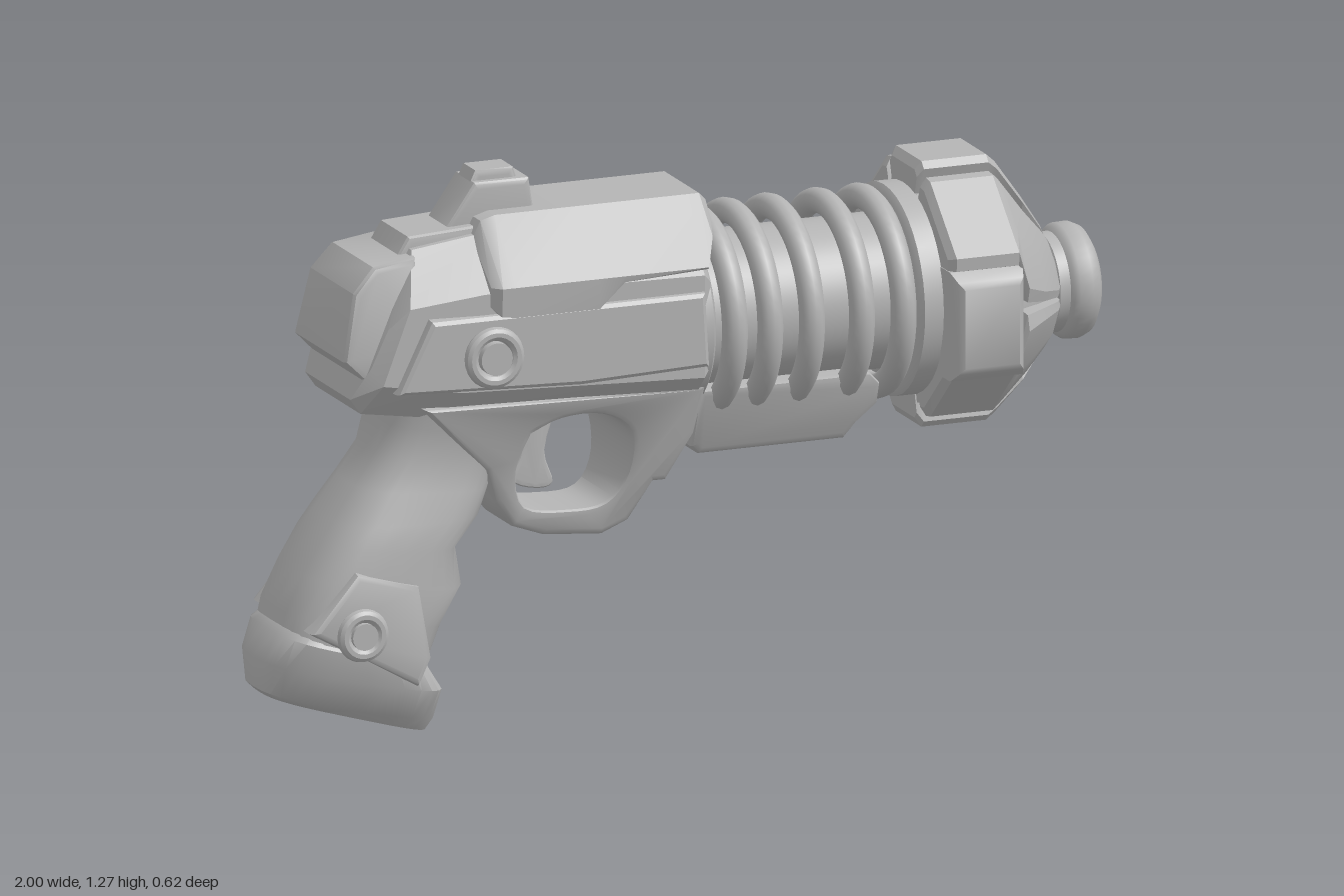
import * as THREE from 'three';
import { toCreasedNormals } from 'three/addons/utils/BufferGeometryUtils.js';

const V = (x, y, z) => new THREE.Vector3(x, y, z);
const P = (list) => list.map(([x, y]) => new THREE.Vector2(x, y));

// Closed solid from equal-length loops of points, with fan caps at both ends
function loft(loops) {
  const n = loops[0].length, pos = [], idx = [];
  loops.forEach((l) => l.forEach((p) => pos.push(p.x, p.y, p.z)));
  for (let s = 0; s < loops.length - 1; s++)
    for (let i = 0; i < n; i++) {
      const a = s * n + i, b = s * n + (i + 1) % n;
      idx.push(a, b, b + n, a, b + n, a + n);
    }
  [0, loops.length - 1].forEach((s) => {
    const c = loops[s].reduce((m, p) => m.add(p), V(0, 0, 0)).divideScalar(n);
    const k = pos.length / 3;
    pos.push(c.x, c.y, c.z);
    for (let i = 0; i < n; i++) {
      const a = s * n + i, b = s * n + (i + 1) % n;
      s ? idx.push(k, a, b) : idx.push(k, b, a);
    }
  });
  // Turn the faces outward whatever the loop direction
  let vol = 0;
  const at = (i) => V(pos[3 * i], pos[3 * i + 1], pos[3 * i + 2]);
  for (let i = 0; i < idx.length; i += 3) vol += at(idx[i]).dot(at(idx[i + 1]).cross(at(idx[i + 2])));
  if (vol < 0) idx.reverse();
  const g = new THREE.BufferGeometry();
  g.setAttribute('position', new THREE.Float32BufferAttribute(pos, 3));
  g.setIndex(idx);
  return g;
}

// Side outline extruded across z, with half width given as a rule of y
function slab(points, width, bevel = 0.015, holes = []) {
  const shape = new THREE.Shape(points);
  holes.forEach((h) => shape.holes.push(new THREE.Path(h)));
  const g = new THREE.ExtrudeGeometry(shape, {
    depth: 1.8, bevelThickness: 0.1, bevelSize: bevel, bevelOffset: -bevel, bevelSegments: 2, curveSegments: 8,
  });
  g.translate(0, 0, -0.9);
  const p = g.attributes.position;
  for (let i = 0; i < p.count; i++) p.setZ(i, p.getZ(i) * width(p.getY(i)));
  return g;
}

const smoothLoop = (list, n) => new THREE.SplineCurve(P([...list, list[0]])).getPoints(n).slice(0, -1);

// Turned part along x from [x, radius] points
function turned(profile, y, segments = 40) {
  const g = new THREE.LatheGeometry(P(profile.map(([x, r]) => [r, x])), segments);
  return g.rotateZ(-Math.PI / 2).translate(0, y, 0);
}

export function createModel() {
  const group = new THREE.Group();
  const grey = new THREE.MeshStandardMaterial({ color: 0xb4b4b4 });
  grey.name = 'grey';
  const add = (name, geo, crease = 0.6) => {
    const m = new THREE.Mesh(toCreasedNormals(geo, crease), grey);
    m.name = name;
    group.add(m);
  };
  const AXIS = 0.885;

  // Receiver: octagonal sections, slanted at the rear
  const receiver = [
    [-0.82, -0.69, 0.8, 1.07, 0.165], [-0.795, -0.66, 0.765, 1.12, 0.195],
    [-0.6, -0.5, 0.735, 1.14, 0.207], [0, 0, 0.71, 1.13, 0.207], [0.02, 0.02, 0.73, 1.11, 0.19],
  ].map(([xb, xt, bot, top, w]) => {
    const half = [[0.13, bot], [w, bot + 0.075], [w, top - 0.11], [0.1, top]];
    return [...half, ...half.map(([z, y]) => [-z, y]).reverse()]
      .map(([z, y]) => V(xb + (xt - xb) * (y - bot) / (top - bot), y, z));
  });
  add('receiver', loft(receiver), 0.4);

  // Side panels with a long slot
  add('sidePanels', slab(P([[-0.74, 0.82], [-0.66, 0.985], [0.0, 0.985], [0.01, 0.81], [-0.3, 0.8]]), () => 0.222, 0.012,
    [P([[-0.41, 0.84], [-0.41, 0.885], [-0.14, 0.885], [-0.14, 0.84]])]));

  // Top cover with sloping shoulders and a stepped lower edge
  const cover = [
    [-0.515, 1.0, 1.13, 0.02], [-0.495, 0.98, 1.17, 0], [-0.46, 0.975, 1.18, 0], [-0.26, 0.975, 1.18, 0],
    [-0.2, 1.03, 1.18, 0], [0, 1.04, 1.18, 0], [0.03, 1.1, 1.18, 0], [0.045, 1.13, 1.165, 0.02],
  ].map(([x, low, top, inset]) => {
    const s = Math.max(1.045, low);
    const ws = 0.232 - (s - 1.045) * 0.95 - inset;
    const half = [[ws - 0.005, low], [ws, s], [0.1, top]];
    return [...half, ...half.map(([z, y]) => [-z, y]).reverse()].map(([z, y]) => V(x, y, z));
  });
  add('topCover', loft(cover), 0.45);

  // Rear cap, rail and sight
  add('rearCap', slab(P([[-0.79, 0.84], [-0.84, 0.89], [-0.81, 1.04], [-0.76, 1.095], [-0.66, 1.11], [-0.64, 0.9]]),
    (y) => 0.16 - (y - 0.84) * 0.12));
  add('rearRail', slab(P([[-0.7, 1.08], [-0.66, 1.145], [-0.48, 1.155], [-0.48, 1.08]]), () => 0.085));
  add('sightBase', slab(P([[-0.57, 1.13], [-0.49, 1.245], [-0.36, 1.245], [-0.345, 1.15]]), () => 0.058));
  add('sightTop', slab(P([[-0.52, 1.18], [-0.48, 1.268], [-0.39, 1.268], [-0.36, 1.18]]), () => 0.038));

  // Trigger guard and frame, narrowing downward
  const guardHole = smoothLoop([[-0.39, 0.68], [-0.415, 0.59], [-0.385, 0.5], [-0.28, 0.48], [-0.19, 0.49],
    [-0.145, 0.56], [-0.15, 0.66], [-0.22, 0.71], [-0.32, 0.71]], 36);
  add('triggerGuard', slab(P([[0.02, 0.76], [0.005, 0.64], [-0.05, 0.53], [-0.08, 0.53], [-0.13, 0.44], [-0.19, 0.412],
    [-0.33, 0.425], [-0.41, 0.455], [-0.46, 0.52], [-0.49, 0.6], [-0.66, 0.77]]),
  (y) => 0.07 + (y - 0.41) * 0.3, 0.014, [guardHole]));
  add('trigger', slab(smoothLoop([[-0.39, 0.73], [-0.37, 0.62], [-0.395, 0.55], [-0.34, 0.525], [-0.295, 0.535],
    [-0.315, 0.61], [-0.29, 0.73]], 28), () => 0.04, 0.01));

  // Grip with finger ridges: rounded sections from back point to front point
  const ring = ([bx, by, fx, fy, w]) => Array.from({ length: 28 }, (_, i) => {
    const a = i / 28 * Math.PI * 2, c = Math.cos(a), s = Math.sin(a);
    const u = Math.sign(c) * Math.abs(c) ** 0.6, v = Math.sign(s) * Math.abs(s) ** 0.65;
    return V((bx + fx) / 2 + u * (fx - bx) / 2, (by + fy) / 2 + u * (fy - by) / 2, v * w);
  });
  add('grip', loft([
    [-0.7, 0.77, -0.34, 0.74, 0.155], [-0.71, 0.72, -0.39, 0.68, 0.14], [-0.73, 0.65, -0.43, 0.62, 0.13],
    [-0.78, 0.58, -0.46, 0.555, 0.14], [-0.835, 0.505, -0.485, 0.5, 0.158], [-0.865, 0.46, -0.545, 0.43, 0.165],
    [-0.91, 0.39, -0.53, 0.34, 0.172], [-0.95, 0.31, -0.58, 0.255, 0.172], [-0.965, 0.25, -0.62, 0.15, 0.165],
  ].map(ring)), 0.8);
  add('gripBase', loft([
    [-0.95, 0.285, -0.63, 0.19, 0.155], [-0.975, 0.265, -0.615, 0.165, 0.17], [-1, 0.2, -0.572, 0.1, 0.16],
    [-1, 0.13, -0.585, 0.03, 0.125], [-0.985, 0.115, -0.6, 0, 0.1],
  ].map(ring)), 0.7);
  add('gripPlates', slab(P([[-0.93, 0.28], [-0.67, 0.135], [-0.64, 0.2], [-0.67, 0.37], [-0.82, 0.41]]), () => 0.178));

  // Round screws on both sides of the receiver and grip
  [['receiver', -0.515, 0.89, 0.055, 0.23], ['grip', -0.81, 0.27, 0.045, 0.18]].forEach(([part, x, y, r, z]) => {
    for (const s of [1, -1]) {
      add(part + 'ScrewRim', new THREE.TorusGeometry(r, 0.016, 10, 28).translate(x, y, s * z));
      add(part + 'ScrewHead', new THREE.CylinderGeometry(r * 0.68, r * 0.68, 0.05, 24)
        .rotateX(Math.PI / 2).translate(x, y, s * (z - 0.008)));
    }
  });

  // Barrel core, collars and coil rings
  add('barrelCore', turned([[-0.05, 0], [-0.05, 0.175], [0.58, 0.175], [0.58, 0]], AXIS));
  add('receiverCollar', turned([[-0.02, 0], [-0.02, 0.215], [0.02, 0.215], [0.03, 0.2], [0.03, 0]], AXIS));
  add('headCollar', turned([[0.505, 0], [0.505, 0.225], [0.515, 0.24], [0.6, 0.24], [0.6, 0]], AXIS));
  [0.07, 0.155, 0.255, 0.375, 0.475].forEach((x) =>
    add('coilRing', new THREE.TorusGeometry(0.212, 0.029, 12, 48).rotateY(Math.PI / 2).translate(x, AXIS, 0)));

  // Block under the barrel
  add('underBlock', slab(P([[0.01, 0.74], [0.01, 0.6], [0.03, 0.58], [0.38, 0.58], [0.405, 0.615], [0.45, 0.66],
    [0.45, 0.71], [0.42, 0.74]]), (y) => 0.1 + (y - 0.58) * 0.35));

  // Head core, seen in the gaps between its armour panels
  add('headCore', turned([[0.565, 0], [0.565, 0.25], [0.73, 0.25], [0.81, 0.185], [0.875, 0.115], [0.875, 0]], 0.875));

  // Armour panel from stations of [x, flat radius, start angle, end angle] in degrees
  const panel = (stations, mid, mirror, turn) => loft(stations.map(([x, r, a0, a1]) => {
    const cy = AXIS - 0.025 * THREE.MathUtils.smoothstep(x, 0.73, 0.885);
    const d = (a1 - a0) * 0.1;
    const outer = [[a0, 0.95], [a0 + d, 1], [(a0 + a1) / 2, 1], [a1 - d, 1], [a1, 0.95]];
    return [...outer, [a1, 0.6], [a0, 0.6]].map(([deg, k]) => {
      const rr = r * k / Math.cos(THREE.MathUtils.degToRad(Math.min(Math.abs(deg - mid), 24)));
      const a = THREE.MathUtils.degToRad(deg * mirror + turn);
      return V(x, cy + rr * Math.sin(a), rr * Math.cos(a));
    });
  }));
  const crown = [[0.562, 0.285, -16, 16], [0.575, 0.305, -17, 17], [0.73, 0.305, -17, 17], [0.75, 0.288, -18, 18],
    [0.81, 0.215, -25, 25], [0.87, 0.145, -22, 22], [0.885, 0.12, -20, 20]];
  const cheek = [[0.562, 0.265, 21, 69], [0.575, 0.284, 20, 70], [0.725, 0.284, 20, 70], [0.745, 0.27, 3, 69],
    [0.81, 0.21, 2, 63], [0.87, 0.145, 2, 66], [0.885, 0.12, 3, 68]];
  [90, -90].forEach((t) => add('headCrownPanel', panel(crown, 0, 1, t), 0.4));
  [[1, 0], [-1, 0], [1, 180], [-1, 180]].forEach(([m, t]) => add('headCheekPanel', panel(cheek, 48, m, t), 0.4));

  // Square plates on both sides of the head
  for (const s of [1, -1]) {
    const plate = [[0.22, 0.125, 0], [0.275, 0.125, 0], [0.302, 0.105, 0.01], [0.312, 0.09, 0.022]].map(([z, h, i]) =>
      [[0.56 + i, -h], [0.735 - i, -h], [0.735 - i, h], [0.56 + i, h]].map(([x, y]) => V(x, 0.86 + y, s * z)));
    add('headSidePlate', loft(plate));
  }

  // Muzzle with a rounded lip, a bore and a small bead inside
  add('muzzle', turned([[0.86, 0], [0.86, 0.1], [0.885, 0.1], [0.893, 0.113], [0.918, 0.113], [0.924, 0.122], [0.935, 0.13],
    [0.965, 0.131], [0.985, 0.122], [0.997, 0.102], [1, 0.085], [0.995, 0.066], [0.98, 0.054], [0.94, 0.045], [0.94, 0]], 0.86), 0.7);
  add('muzzleBead', new THREE.SphereGeometry(0.024, 16, 12).translate(0.945, 0.86, 0));

  return group;
}
